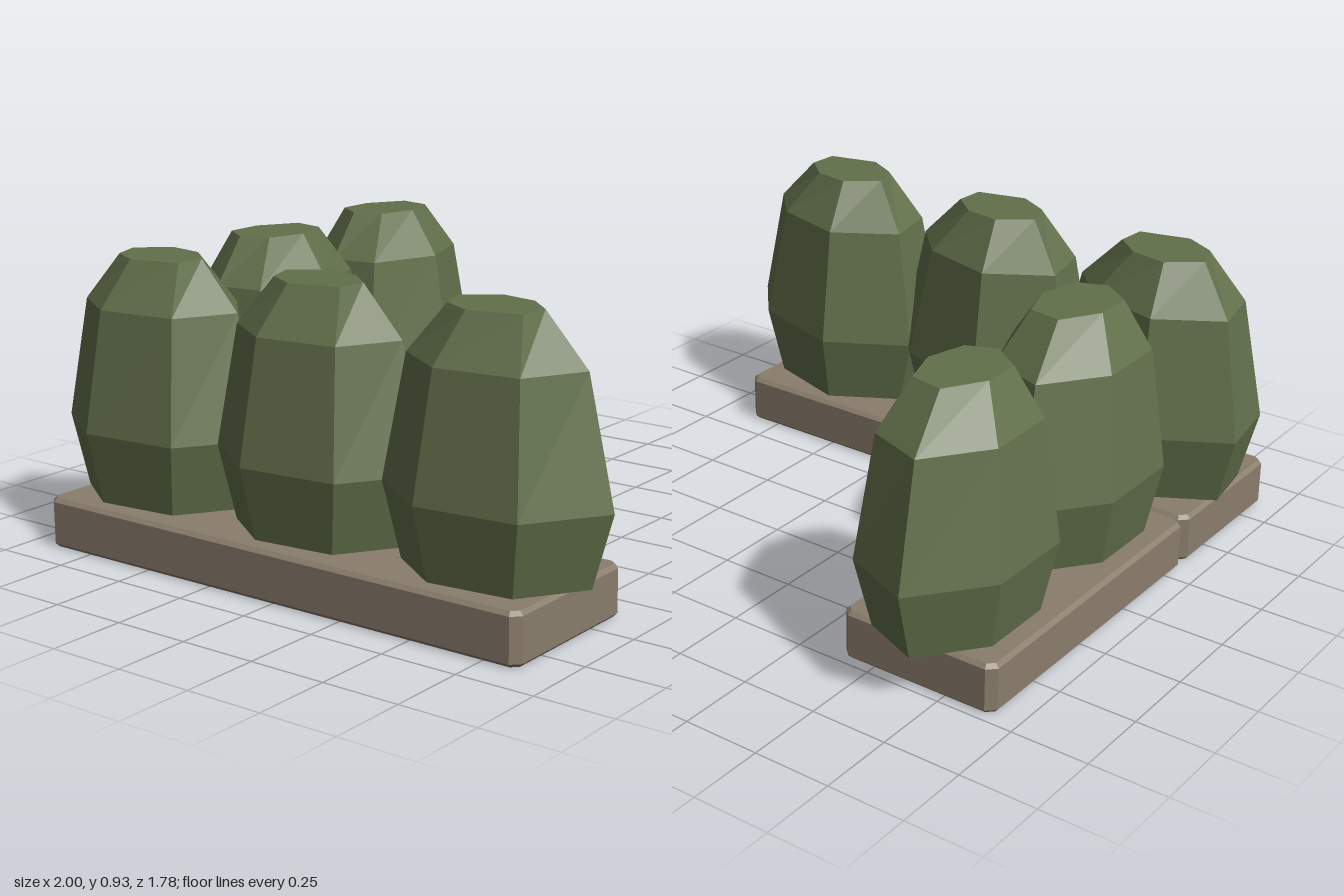
import * as THREE from 'three';

const leafMat = new THREE.MeshStandardMaterial({ color: 0x62704b, flatShading: true });
const baseMat = new THREE.MeshStandardMaterial({ color: 0x8a7d6c, flatShading: true });

// Seven-sided outlines (x, z) around each bush centre: widest ring and top ring
const wideBush = {
  mid: [[-.085, -.283], [.245, -.18], [.395, -.005], [.235, .225], [-.09, .257], [-.312, .107], [-.349, -.13]],
  top: [[-.05, -.115], [.07, -.095], [.155, -.02], [.147, .075], [-.015, .115], [-.115, .06], [-.15, -.035]],
};
const deepBush = {
  mid: [[-.067, -.393], [.163, -.297], [.276, -.013], [.163, .29], [-.04, .302], [-.248, .136], [-.248, -.163]],
  top: [[-.034, -.163], [.073, -.142], [.115, -.013], [.08, .115], [-.013, .152], [-.11, .083], [-.11, -.04]],
};

// Faceted bush lofted through four rings, capped at both ends
function bushGeometry({ mid, top }) {
  const n = mid.length;
  const shoulder = top.map(([x, z], i) => [x + (mid[i][0] - x) * 0.62, z + (mid[i][1] - z) * 0.62]);
  const foot = mid.map(([x, z]) => [x * 0.83, z * 0.83]);
  const rings = [[foot, 0.165], [mid, 0.393], [shoulder, 0.775], [top, 0.925]];
  const positions = [];
  const index = [];
  for (const [ring, y] of rings) for (const [x, z] of ring) positions.push(x, y, z);
  positions.push(0, 0.165, 0, 0, 0.925, 0);
  const last = (rings.length - 1) * n;
  const bottomCentre = rings.length * n;
  for (let i = 0; i < n; i++) {
    const j = (i + 1) % n;
    for (let r = 0; r < last; r += n) {
      index.push(r + i, r + n + i, r + j, r + j, r + n + i, r + n + j);
    }
    index.push(bottomCentre, i, j, bottomCentre + 1, last + j, last + i);
  }
  const geo = new THREE.BufferGeometry();
  geo.setAttribute('position', new THREE.Float32BufferAttribute(positions, 3));
  geo.setIndex(index);
  const flat = geo.toNonIndexed();
  flat.computeVertexNormals();
  return flat;
}

// Slab with chamfered corners and edges
function slab(name, x0, x1, z0, z1, height) {
  const b = 0.012, c = 0.02;
  const w = (x1 - x0) / 2 - b, d = (z1 - z0) / 2 - b;
  const shape = new THREE.Shape([
    [w - c, -d], [w, c - d], [w, d - c], [w - c, d],
    [c - w, d], [-w, d - c], [-w, c - d], [c - w, -d],
  ].map(([x, y]) => new THREE.Vector2(x, y)));
  const geo = new THREE.ExtrudeGeometry(shape, {
    depth: height - 2 * b, bevelEnabled: true, bevelSize: b, bevelThickness: b, bevelSegments: 1,
  });
  geo.rotateX(-Math.PI / 2);
  geo.translate((x0 + x1) / 2, b, (z0 + z1) / 2);
  const mesh = new THREE.Mesh(geo, baseMat);
  mesh.name = name;
  return mesh;
}

export function createModel() {
  const model = new THREE.Group();
  model.name = 'cornerHedge';

  // L-shaped footing
  model.add(slab('frontBase', -0.92, 0.87, 0.35, 0.885, 0.16));
  model.add(slab('backBase', -0.92, -0.385, -0.725, 0.345, 0.16));

  // Rows of bushes
  const addRow = (name, geo, places) => places.forEach(([x, z], i) => {
    const bush = new THREE.Mesh(geo, leafMat);
    bush.name = name + (i + 1);
    bush.position.set(x, 0, z);
    model.add(bush);
  });
  addRow('frontBush', bushGeometry(wideBush), [[-0.651, 0.62], [-0.023, 0.62], [0.605, 0.62]]);
  addRow('backBush', bushGeometry(deepBush), [[-0.65, 0.088], [-0.65, -0.5]]);
  return model;
}
